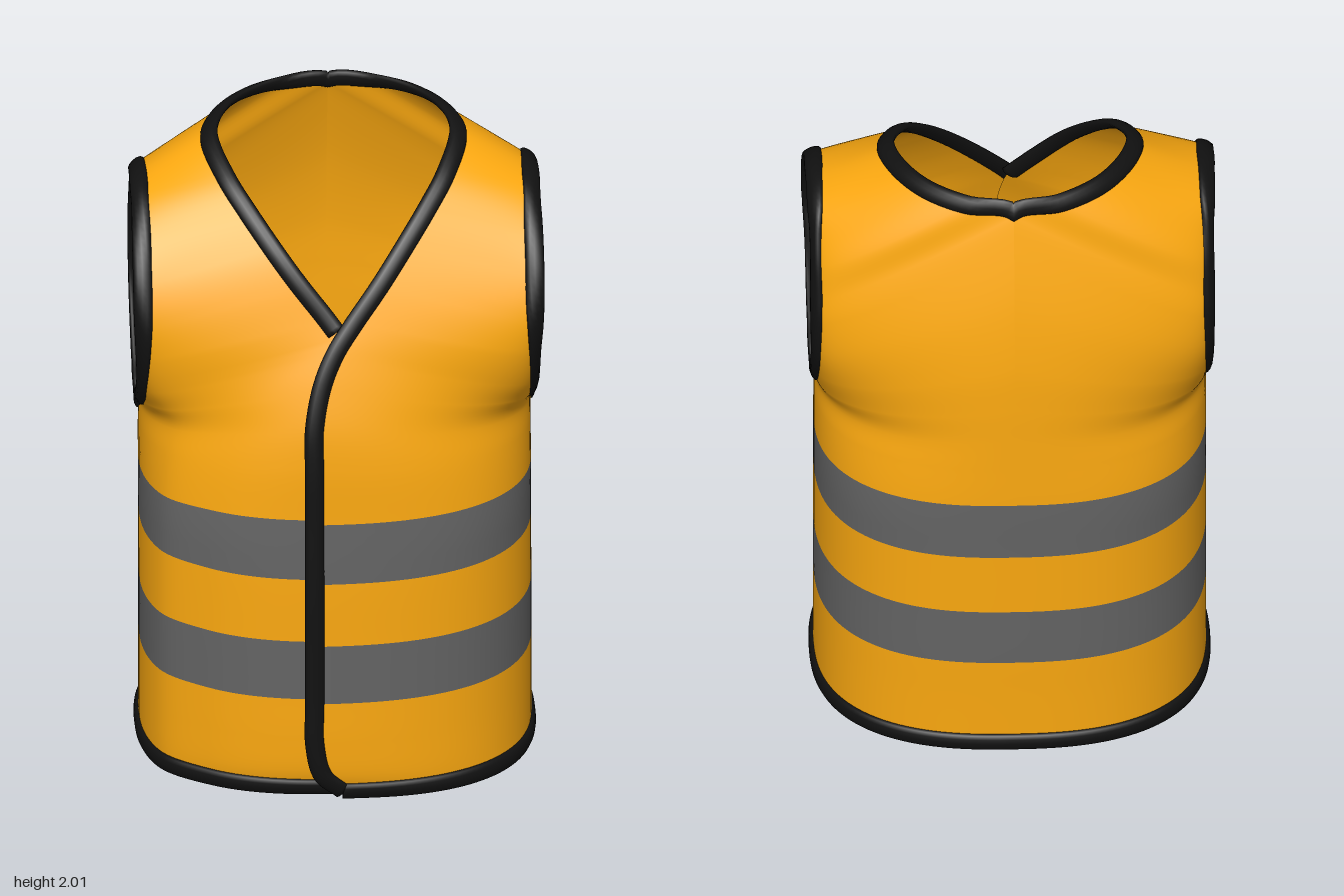
import * as THREE from 'three';
import { ParametricGeometry } from 'three/addons/geometries/ParametricGeometry.js';

const V3 = THREE.Vector3;
const smooth = THREE.MathUtils.smoothstep, lerp = THREE.MathUtils.lerp, clamp = THREE.MathUtils.clamp;

// Stations from the front hem over the shoulder to the back hem:
// inner edge x, y, z (opening, neck, centre back), outer edge y, z (side seam, armhole)
const FRONT = [
  [0, .03, .495, .03, 0], [-.06, .09, .51, .09, 0], [-.085, .2, .515, .2, 0],
  [-.085, .335, .515, .335, 0], [-.085, .53, .515, .53, 0], [-.085, .74, .515, .74, -.01],
  [-.085, .94, .51, .91, -.02], [-.085, 1.12, .505, 1.03, -.03], [-.085, 1.25, .49, 1.1, -.03],
  [-.06, 1.38, .455, 1.18, .1], [-.02, 1.47, .42, 1.26, .2], [.03, 1.54, .385, 1.38, .27],
  [.12, 1.65, .325, 1.5, .295], [.2, 1.75, .255, 1.63, .26], [.27, 1.835, .18, 1.75, .18],
  [.33, 1.905, .09, 1.83, .07], [.375, 1.965, -.07, 1.855, -.05]
];
const BACK = [
  [.34, 1.98, -.2, 1.82, -.18], [.26, 1.98, -.31, 1.75, -.24], [.14, 1.975, -.385, 1.68, -.285],
  [0, 1.965, -.415, 1.59, -.315], [0, 1.85, -.45, 1.5, -.33], [0, 1.65, -.495, 1.37, -.31],
  [0, 1.45, -.52, 1.26, -.24], [0, 1.3, -.525, 1.17, -.14], [0, 1.18, -.525, 1.1, -.03],
  [0, 1.08, -.525, 1.03, -.03], [0, .94, -.525, .91, -.02], [0, .74, -.52, .74, -.01],
  [0, .53, -.515, .53, 0], [0, .335, -.51, .335, 0], [0, .2, -.505, .2, 0], [0, .03, -.5, .03, 0]
];
const STATIONS = [...FRONT, ...BACK];
const LAST = STATIONS.length - 1;
const SHOULDER = 16, NECK_BACK = 20, ARM_START = 8, ARM_END = 25;
const inner = new THREE.CatmullRomCurve3(STATIONS.map(s => new V3(s[0], s[1], s[2])));
const outer = new THREE.CatmullRomCurve3(STATIONS.map(s => new V3(.59, s[3], s[4])));

// Point on one half of the vest: u runs from inner to outer edge, s is the station
function surface(u, s, side, target = new V3()) {
  const t = clamp(s / LAST, 0, 1);
  const I = inner.getPoint(t), O = outer.getPoint(t);
  if (s >= SHOULDER) I.x = Math.max(0, I.x);
  if (side < 0 && I.x < 0) I.x *= .4;
  const upper = smooth(O.y, .8, 1.3);
  const e = 2 / lerp(2.5, 1.85, upper), ang = u * Math.PI / 2;
  const a = Math.pow(Math.sin(ang), e);
  const b = 1 - Math.pow(Math.max(0, Math.cos(ang)), e);
  const z = lerp(I.z, O.z, b);
  // the right front tucks in beneath the left one
  const tuck = side < 0 ? .03 * smooth(z, .25, .42) : 0;
  return target.set(side * lerp(I.x, O.x, a), lerp(I.y, O.y, lerp(b, a, upper)), z - tuck);
}

// Outward normal, sampled slightly inside the edges
function normalAt(u, s, side) {
  const h = .01;
  u = clamp(u, .06, .94);
  s = clamp(s, .02, LAST - .02);
  const du = surface(u + h, s, side).sub(surface(u - h, s, side));
  const dv = surface(u, s + h, side).sub(surface(u, s - h, side));
  return du.cross(dv).multiplyScalar(side).normalize();
}

// Cloth between two stations
function clothPatch(s0, s1, side) {
  const f = (u, v, target) => surface(side > 0 ? u : 1 - u, lerp(s0, s1, v), side, target);
  return new ParametricGeometry(f, 32, Math.ceil((s1 - s0) * 6));
}

// Samples [u, station, side] along an edge
function edge(n, f) {
  return Array.from({ length: n + 1 }, (_, i) => f(i / n));
}

// Flat rounded piping swept along edge samples, lying on the cloth
function piping(samples, closed) {
  const HALF_WIDTH = .029, HALF_THICK = .014, SIDES = 12;
  const pts = [], nor = [];
  for (const [u, s, side] of samples) {
    const p = surface(u, s, side);
    if (pts.some(q => q.distanceTo(p) < 1e-3)) continue;
    pts.push(p);
    nor.push(normalAt(u, s, side));
  }
  const n = pts.length, pos = [], idx = [];
  const at = i => closed ? (i + n) % n : clamp(i, 0, n - 1);
  const ring = (i, scale) => {
    const T = pts[at(i + 1)].clone().sub(pts[at(i - 1)]).normalize();
    const B = nor[i].clone().cross(T).normalize();
    const N = T.clone().cross(B);
    for (let j = 0; j < SIDES; j++) {
      const q = j / SIDES * Math.PI * 2;
      const p = pts[i].clone().addScaledVector(B, Math.cos(q) * HALF_WIDTH * scale)
        .addScaledVector(N, Math.sin(q) * HALF_THICK * scale);
      pos.push(p.x, p.y, p.z);
    }
  };
  if (!closed) ring(0, .001);
  for (let i = 0; i < n; i++) ring(i, 1);
  if (!closed) ring(n - 1, .001);
  const rings = pos.length / 3 / SIDES;
  for (let i = 0; i < (closed ? rings : rings - 1); i++) {
    for (let j = 0; j < SIDES; j++) {
      const k = (j + 1) % SIDES, r = i * SIDES, r2 = ((i + 1) % rings) * SIDES;
      idx.push(r + j, r + k, r2 + j, r + k, r2 + k, r2 + j);
    }
  }
  const g = new THREE.BufferGeometry();
  g.setAttribute('position', new THREE.Float32BufferAttribute(pos, 3));
  g.setIndex(idx);
  g.computeVertexNormals();
  return g;
}

export function createModel() {
  const vest = new THREE.Group();
  vest.name = 'safetyVest';
  const mat = color => new THREE.MeshStandardMaterial({ color, side: THREE.DoubleSide });
  const orange = mat(0xfca910), grey = mat(0x646464), black = mat(0x111111);
  const add = (name, geometry, material) => {
    const m = new THREE.Mesh(geometry, material);
    m.name = name;
    vest.add(m);
  };

  // Cloth and reflective bands alternate between these stations
  const cuts = [0, 3, 4, 5, 6, 27, 28, 29, 30, LAST];
  for (const side of [1, -1]) {
    const label = side > 0 ? 'left' : 'right';
    for (let i = 0; i < cuts.length - 1; i++) {
      const band = i % 2 === 1;
      add(label + (band ? 'ReflectiveBand' : 'Cloth') + i,
        clothPatch(cuts[i], cuts[i + 1], side), band ? grey : orange);
    }
    // Armhole piping
    add(label + 'ArmholePiping',
      piping(edge(100, t => [1, lerp(ARM_START, ARM_END, t), side]), true), black);
  }

  // Piping up the overlapping front edge, around the neck and down the right side of the V
  add('frontAndNeckPiping', piping([
    ...edge(130, t => [0, lerp(0, NECK_BACK, t), 1]),
    ...edge(60, t => [0, lerp(NECK_BACK, 10.7, t), -1])
  ], false), black);

  // Hem piping all the way around
  add('hemPiping', piping([
    ...edge(40, t => [t, 0, 1]),
    ...edge(40, t => [1 - t, LAST, 1]),
    ...edge(40, t => [t, LAST, -1]),
    ...edge(40, t => [1 - t, 0, -1])
  ], false), black);

  return vest;
}
